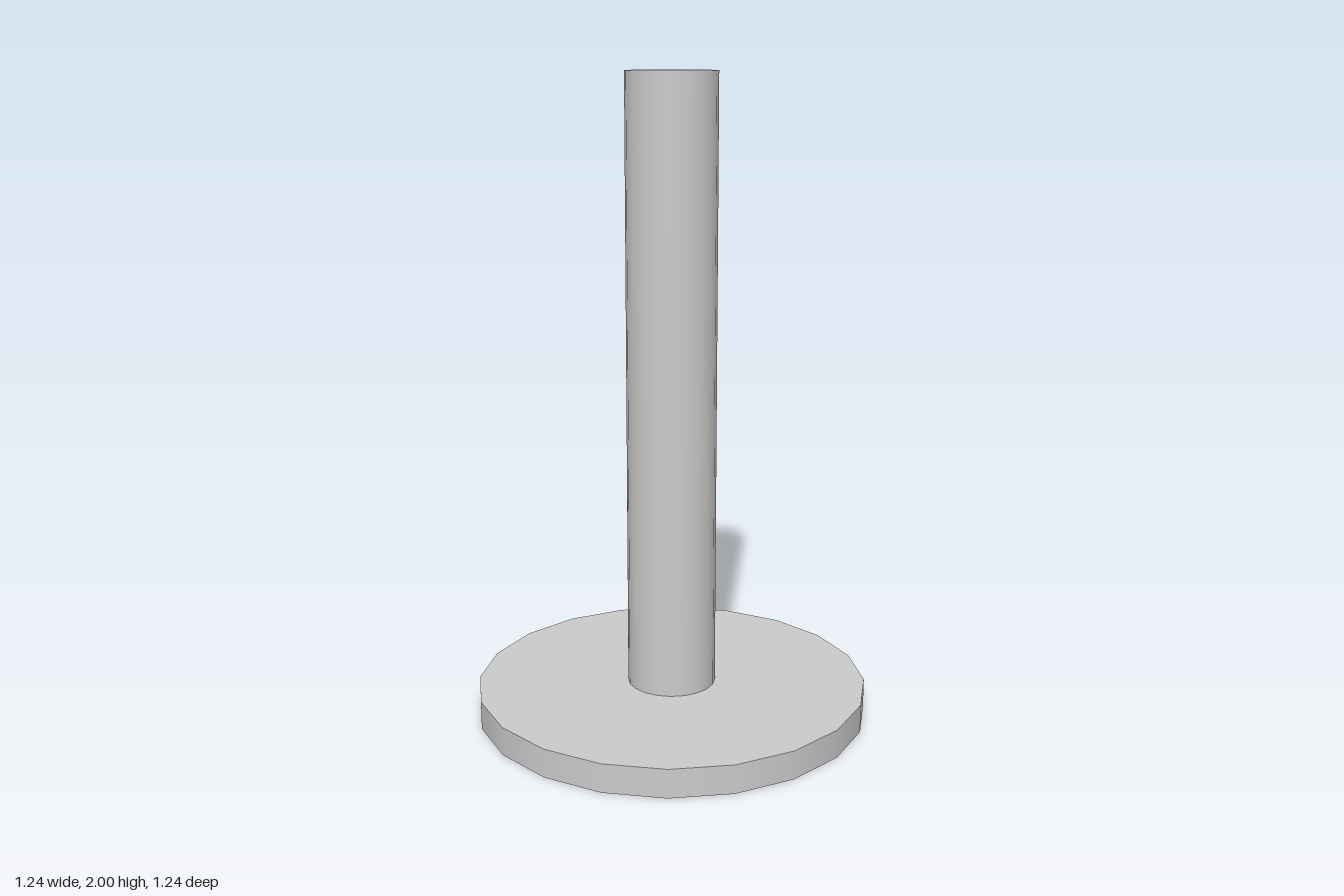
import * as THREE from 'three';

const SIDES = 20;
const BASE_HEIGHT = 0.09;
const TOTAL_HEIGHT = 2;

export function createModel() {
  const group = new THREE.Group();
  group.name = 'poleOnRoundBase';
  const material = new THREE.MeshStandardMaterial({ color: 0xcccccc });

  // Upright cylinder spanning two heights
  const addCylinder = (name, radius, bottom, top) => {
    const height = top - bottom;
    const mesh = new THREE.Mesh(new THREE.CylinderGeometry(radius, radius, height, SIDES), material);
    mesh.name = name;
    mesh.position.y = bottom + height / 2;
    group.add(mesh);
  };

  // Flat round foot
  addCylinder('base', 0.618, 0, BASE_HEIGHT);
  // Tall post standing on the foot
  addCylinder('pole', 0.139, BASE_HEIGHT, TOTAL_HEIGHT);

  return group;
}
